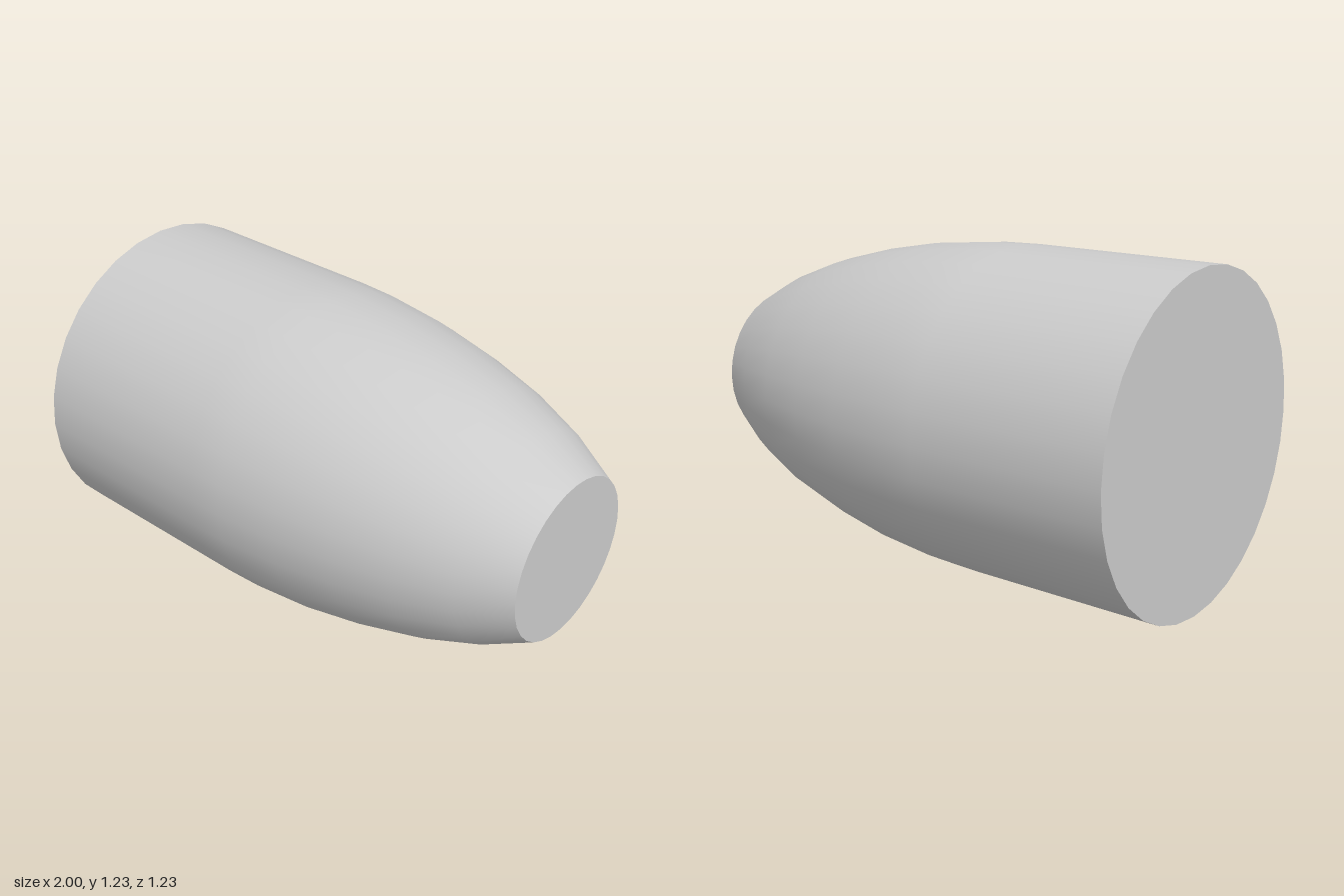
import * as THREE from 'three';

const SIDES = 32;
const RADIUS = 0.617;
const NOSE_RADIUS = 0.31;

export function createModel() {
  const group = new THREE.Group();
  group.name = 'taperedBody';
  const material = new THREE.MeshStandardMaterial({ color: 0xcccccc });

  // Straight barrel running into a curved taper: [radius, position along x]
  const profile = [
    [RADIUS, -1], [RADIUS, -0.23], [0.612, -0.08], [0.588, 0.16],
    [0.545, 0.39], [0.487, 0.61], [0.407, 0.82], [NOSE_RADIUS, 1],
  ].map(([r, x]) => new THREE.Vector2(r, x));
  const shellGeometry = new THREE.LatheGeometry(profile, SIDES);
  shellGeometry.rotateZ(-Math.PI / 2);
  const shell = new THREE.Mesh(shellGeometry, material);
  shell.name = 'shell';
  group.add(shell);

  // Flat discs closing both ends
  const addCap = (name, radius, side) => {
    const geometry = new THREE.CircleGeometry(radius, SIDES);
    geometry.rotateY(side * Math.PI / 2);
    const cap = new THREE.Mesh(geometry, material);
    cap.name = name;
    cap.position.x = side;
    group.add(cap);
  };
  addCap('baseCap', RADIUS, -1);
  addCap('noseCap', NOSE_RADIUS, 1);

  // Rest the body on the ground
  group.children.forEach((part) => { part.position.y = RADIUS; });
  return group;
}
